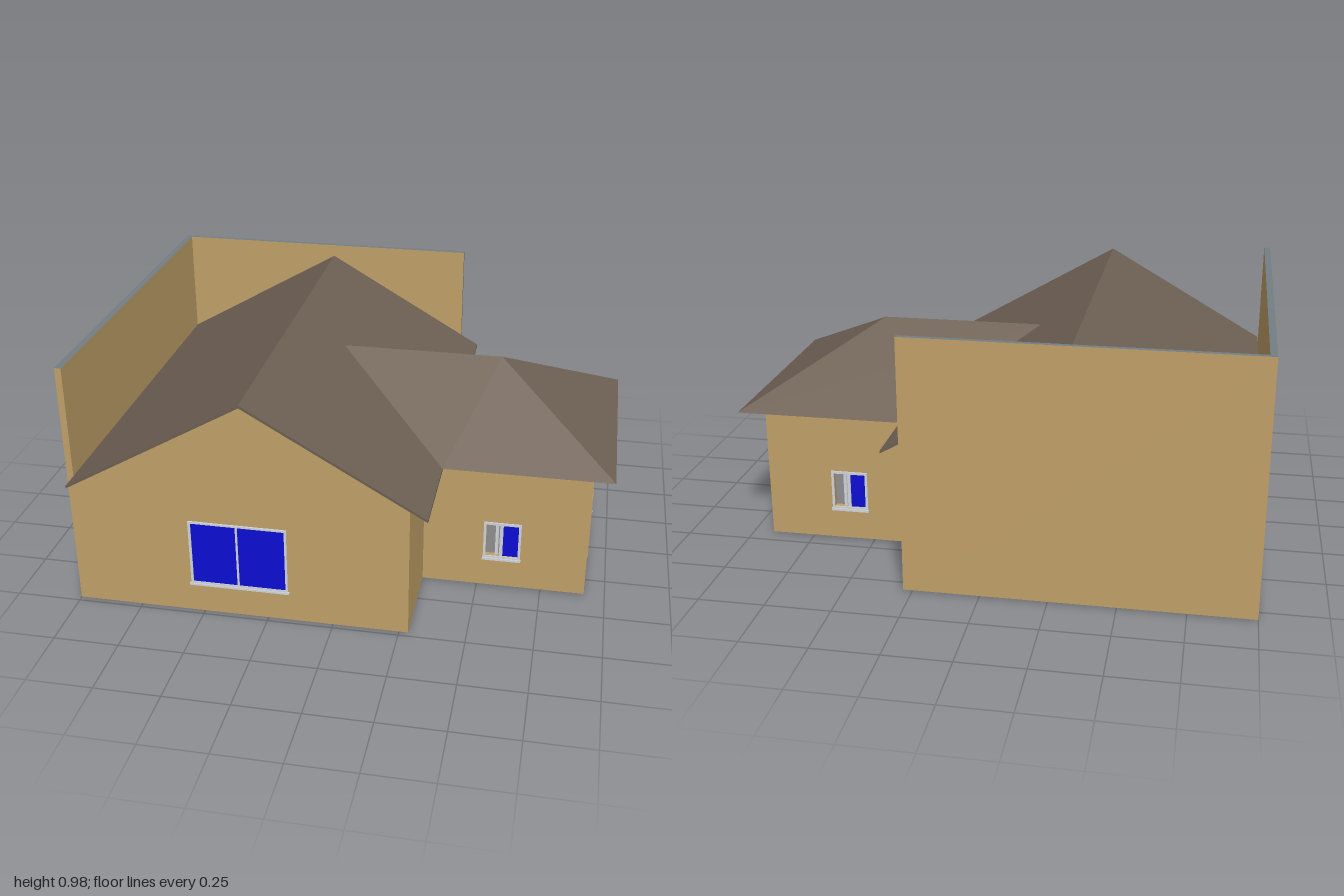
import * as THREE from 'three';

const mat = (name, color, double) => {
  const m = new THREE.MeshStandardMaterial({ color, side: double ? THREE.DoubleSide : THREE.FrontSide });
  m.name = name;
  return m;
};

export function createModel() {
  const house = new THREE.Group();
  house.name = 'house';
  const wall = mat('sandWall', 0xc2a169);
  const roof = mat('brownRoof', 0x6e6054, true);
  const trim = mat('greyTrim', 0x737f85);
  const floorMat = mat('greyFloor', 0x808080);
  const glass = mat('blueGlass', 0x0d0dd6);
  const white = mat('paleFrame', 0xd2d6dc);
  const T = 0.02, Y0 = 0.002;

  const add = (name, geo, material, parent = house) => {
    const m = new THREE.Mesh(geo, material);
    m.name = name;
    parent.add(m);
    return m;
  };
  // Box given by its two corners
  const box = (name, a, b, material, parent) => {
    const m = add(name, new THREE.BoxGeometry(b[0] - a[0], b[1] - a[1], b[2] - a[2]), material, parent);
    m.position.set((a[0] + b[0]) / 2, (a[1] + b[1]) / 2, (a[2] + b[2]) / 2);
    return m;
  };
  const shapeOf = (pts, ...holes) => {
    const s = new THREE.Shape(pts.map(p => new THREE.Vector2(...p)));
    holes.forEach(h => s.holes.push(new THREE.Path(h.map(p => new THREE.Vector2(...p)))));
    return s;
  };
  const rect = (x0, y0, x1, y1) => [[x0, y0], [x1, y0], [x1, y1], [x0, y1]];
  const extrude = (name, shape, depth, z, material, parent) => {
    const m = add(name, new THREE.ExtrudeGeometry(shape, { depth, bevelEnabled: false }), material, parent);
    m.position.z = z;
    return m;
  };

  // Tall firewalls along the left and back, with grey caps
  box('leftFirewall', [-1, Y0, -0.807], [-0.975, 0.975, 0.73], [wall, wall, trim, trim, wall, wall]);
  box('backFirewall', [-0.975, Y0, -0.807], [0.285, 0.975, -0.787], [trim, wall, trim, trim, wall, wall]);

  // Main walls, the front one rising into the gable
  extrude('frontGableWall', shapeOf([[-0.975, Y0], [0.285, Y0], [0.285, 0.575], [-0.305, 0.915], [-0.975, 0.53]]), T, 0.73 - T, wall);
  box('mainSideWallFront', [0.285 - T, Y0, 0.335], [0.285, 0.575, 0.73 - T], wall);
  box('mainSideWallBack', [0.285 - T, Y0, -0.787], [0.285, 0.575, -0.41], wall);
  box('partition', [0.285 - T, Y0, -0.41], [0.285, 0.575, 0.335], floorMat);

  // Wing walls with window openings
  const cx = 0.5925, cy = 0.2075;
  const wingShape = shapeOf(rect(0.285, Y0, 0.92, 0.575), rect(cx - 0.0625, cy - 0.07, cx + 0.0625, cy + 0.07));
  extrude('wingFrontWall', wingShape, T, 0.355 - T, wall);
  extrude('wingBackWall', wingShape, T, -0.43, wall);
  box('wingEndWall', [0.92 - T, Y0, -0.43 + T], [0.92, 0.58, 0.355 - T], wall);

  // Footing ring under the walls, and the recessed floor slab
  const plan = (i) => [[-1 + i, -0.807 + i], [0.285 - i, -0.807 + i], [0.285 - i, -0.43 + i], [0.92 - i, -0.43 + i],
    [0.92 - i, 0.355 - i], [0.285 - i, 0.355 - i], [0.285 - i, 0.73 - i], [-1 + i, 0.73 - i]];
  const footing = add('footing', new THREE.ShapeGeometry(shapeOf(plan(0), plan(T))), trim);
  footing.rotation.x = Math.PI / 2;
  const floor = add('floor', new THREE.ExtrudeGeometry(shapeOf(plan(T)), { depth: 0.008, bevelEnabled: false }), floorMat);
  floor.rotation.x = Math.PI / 2;
  floor.position.y = 0.022;

  // Main gable roof
  extrude('mainRoof', shapeOf([[-0.975, 0.54], [-0.975, 0.53], [-0.305, 0.914], [0.36, 0.53], [0.36, 0.54], [-0.305, 0.925]]),
    0.807 + 0.787, -0.787, roof);

  // Hipped wing roof
  const r0 = [-0.105, 0.81, -0.043], r1 = [0.53, 0.81, -0.043];
  const f0 = [0.36, 0.54, 0.425], f1 = [1, 0.54, 0.425], b0 = [0.36, 0.54, -0.51], b1 = [1, 0.54, -0.51];
  const hip = new THREE.BufferGeometry();
  hip.setAttribute('position', new THREE.Float32BufferAttribute(
    [f0, f1, r1, f0, r1, r0, b1, b0, r0, b1, r0, r1, f1, b1, r1].flat(), 3));
  hip.computeVertexNormals();
  add('wingRoof', hip, roof);

  // Large front window
  const big = new THREE.Group();
  big.name = 'frontWindow';
  big.position.z = 0.73;
  house.add(big);
  extrude('frame', shapeOf(rect(-0.545, 0.125, -0.17, 0.395),
    rect(-0.535, 0.135, -0.364, 0.387), rect(-0.356, 0.135, -0.179, 0.387)), 0.006, 0, white, big);
  box('glass', [-0.54, 0.13, 0], [-0.175, 0.39, 0.003], glass, big);
  box('sill', [-0.55, 0.119, 0], [-0.165, 0.127, 0.01], white, big);

  // Half-open sliding windows on both sides of the wing
  [[0.355, 0], [-0.43, Math.PI]].forEach(([z, turn], i) => {
    const w = new THREE.Group();
    w.name = i ? 'wingBackWindow' : 'wingFrontWindow';
    w.position.set(cx, cy, z);
    w.rotation.y = turn;
    house.add(w);
    extrude('frame', shapeOf(rect(-0.0725, -0.08, 0.0725, 0.08), rect(-0.0625, -0.07, 0.0625, 0.07)), 0.005, 0, white, w);
    box('sashStile', [-0.01, -0.07, -0.012], [0.003, 0.07, 0], white, w);
    box('rearStile', [-0.027, -0.07, -0.018], [-0.015, 0.07, -0.008], white, w);
    box('glass', [0.003, -0.07, -0.01], [0.0625, 0.07, -0.004], glass, w);
    box('sill', [-0.075, -0.087, 0], [0.075, -0.078, 0.01], white, w);
  });

  // Double glazed door on the wing end, local x runs towards -z
  const door = new THREE.Group();
  door.name = 'wingDoor';
  door.position.x = 0.92;
  door.rotation.y = Math.PI / 2;
  house.add(door);
  extrude('doorFrame', shapeOf(rect(-0.11, 0.02, 0.175, 0.29), rect(-0.098, 0.032, 0.163, 0.278)), 0.008, 0, wall, door);
  [[-0.098, 0.03, -0.085, 0.02, 0.004], [0.03, 0.163, 0.052, 0.154, 0.007]].forEach(([x0, x1, g0, g1, d], i) => {
    extrude('doorLeaf' + (i + 1), shapeOf(rect(x0, 0.032, x1, 0.278), rect(g0, 0.052, g1, 0.268)), d, 0, wall, door);
    box('doorGlass' + (i + 1), [g0, 0.052, 0], [g1, 0.268, 0.002], glass, door);
  });
  box('doorHandle', [0.022, 0.148, 0.004], [0.028, 0.162, 0.012], white, door);

  return house;
}
